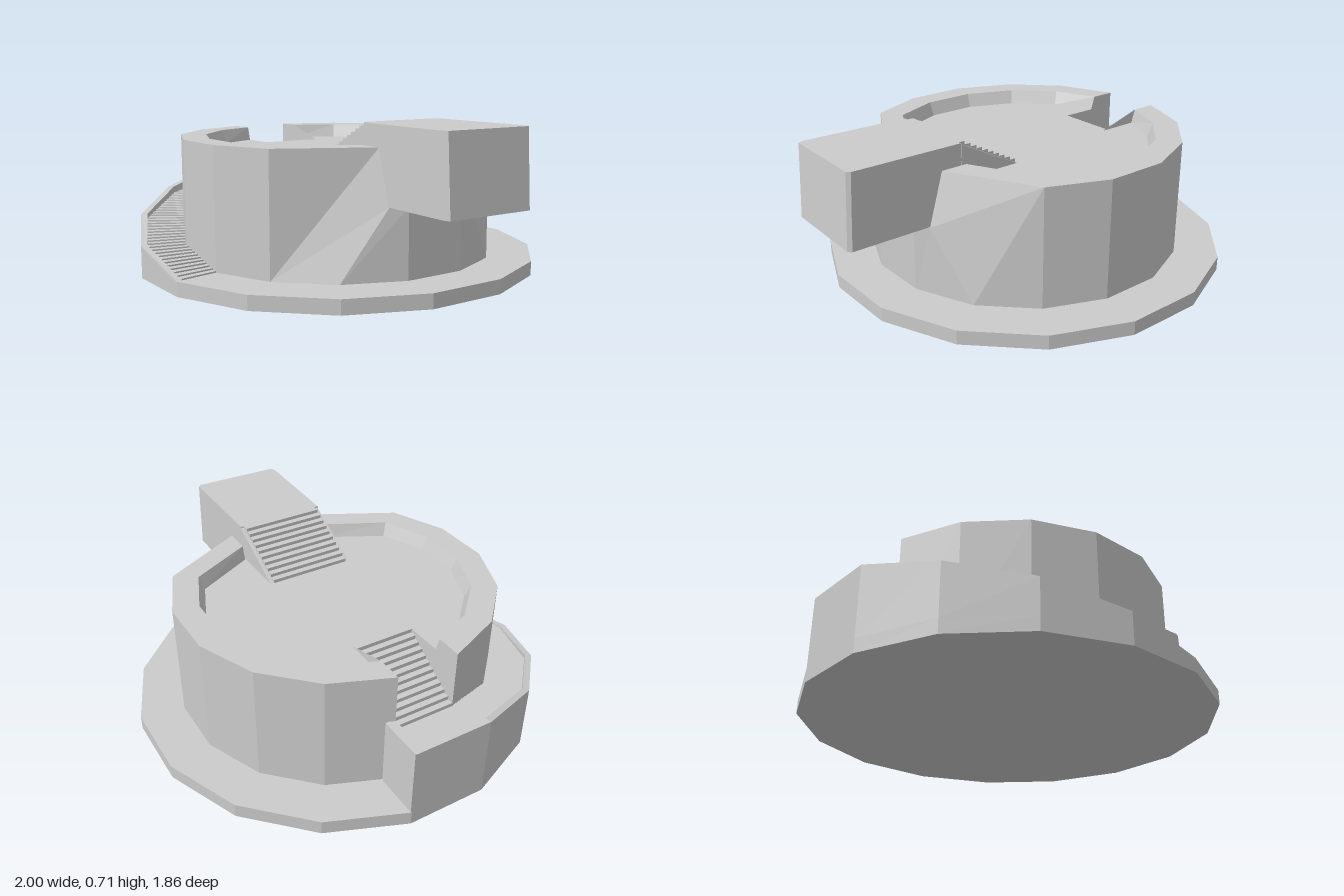
import * as THREE from 'three';

const CX = -0.07, BASE = 0.065, LANDING = 0.34, FLOOR = 0.55, TOP = 0.615, NOTCH = 0.145;
const material = new THREE.MeshStandardMaterial({ color: 0xcccccc, flatShading: true, side: THREE.DoubleSide });

// corner k of a 16-sided ring, counted from +x towards +z
const ring = (r, k, y) => {
  const a = (k + 0.5) * Math.PI / 8;
  return [CX + r * Math.cos(a), y, r * Math.sin(a)];
};
const range = (a, b) => Array.from({ length: b - a + 1 }, (_, i) => a + i);
const lerp = (a, b, t) => a.map((v, i) => v + (b[i] - v) * t);
const mirror = polys => polys.map(p => p.map(([x, y, z]) => [x, y, -z]).reverse());

// quads between successive rows of points
function loft(rows) {
  const out = [];
  for (let j = 0; j + 1 < rows.length; j++)
    for (let k = 0; k + 1 < rows[j].length; k++)
      out.push([rows[j][k + 1], rows[j][k], rows[j + 1][k], rows[j + 1][k + 1]]);
  return out;
}

function mesh(name, geometry) {
  const m = new THREE.Mesh(geometry, material);
  m.name = name;
  return m;
}

// mesh from flat polygons, each cut as a fan from its first corner
function polyMesh(name, polys) {
  const pos = [];
  for (const p of polys)
    for (let i = 1; i + 1 < p.length; i++) pos.push(...p[0], ...p[i], ...p[i + 1]);
  const g = new THREE.BufferGeometry();
  g.setAttribute('position', new THREE.Float32BufferAttribute(pos, 3));
  g.computeVertexNormals();
  return mesh(name, g);
}

// straight flight: sawtooth profile extruded across z
function flight(name, x0, y0, x1, y1, steps, halfWidth, bottom) {
  const s = new THREE.Shape();
  s.moveTo(x0, bottom);
  s.lineTo(x0, y0);
  for (let i = 0; i < steps; i++) {
    const y = y0 + (y1 - y0) * (i + 1) / steps;
    s.lineTo(x0 + (x1 - x0) * i / steps, y);
    s.lineTo(x0 + (x1 - x0) * (i + 1) / steps, y);
  }
  s.lineTo(x1, bottom);
  const g = new THREE.ExtrudeGeometry(s, { depth: 2 * halfWidth, bevelEnabled: false });
  g.translate(0, 0, -halfWidth);
  return mesh(name, g);
}

function box(name, x0, x1, y0, y1, z0, z1) {
  const g = new THREE.BoxGeometry(x1 - x0, y1 - y0, z1 - z0);
  g.translate((x0 + x1) / 2, (y0 + y1) / 2, (z0 + z1) / 2);
  return mesh(name, g);
}

function drum() {
  const ks = range(2, 7);
  const R = 0.745, bottom = k => ring(R, k, BASE);
  const capEnd = [0.555, TOP, 0.22], hip = [0.625, 0.375, 0.22];
  const outer = ks.map(k => ring(R, k, TOP));
  const inner = ks.map(k => ring(0.625, k, TOP));
  const foot = ks.map(k => ring(0.6, k, FLOOR));
  inner[5] = [-0.68, TOP, NOTCH];
  foot[5] = [-0.66, FLOOR, NOTCH];
  const half = [
    ...loft([ks.map(bottom), outer]),
    // parapet, running on to the gatehouse
    ...loft([[capEnd, ...outer], [[0.43, TOP, 0.22], ...inner], [[0.41, FLOOR, 0.22], ...foot]]),
    // sloped shoulder beside the gatehouse
    [bottom(2), bottom(1), hip, capEnd, outer[0]],
    [bottom(1), bottom(0), ring(R, 0, 0.375), hip],
    // side of the stair notch
    [foot[5], inner[5], outer[5], [-0.8, LANDING, NOTCH], [-0.46, FLOOR, NOTCH]],
  ];
  const flip = p => [p[0], p[1], -p[2]];
  const e = bottom(0), w = bottom(7), eTop = ring(R, 0, 0.375), wTop = ring(R, 7, LANDING);
  return polyMesh('drumWall', [
    ...half, ...mirror(half),
    [e, flip(e), flip(eTop), eTop],
    [flip(w), w, wTop, flip(wTop)],
  ]);
}

// upper floor with a notch for the stair
function upperFloor() {
  const side = range(2, 6).map(k => ring(0.6, k, 0)).map(p => new THREE.Vector2(p[0], p[2]));
  const half = [new THREE.Vector2(0.42, 0.215), ...side,
    new THREE.Vector2(-0.66, NOTCH), new THREE.Vector2(-0.46, NOTCH)];
  const rest = half.map(p => new THREE.Vector2(p.x, -p.y)).reverse();
  const g = new THREE.ShapeGeometry(new THREE.Shape([...half, ...rest]));
  g.rotateX(-Math.PI / 2);
  g.translate(0, FLOOR, 0);
  return mesh('upperFloor', g);
}

// treads and risers winding around the drum up to the landing
function curvedStair() {
  const polys = [], per = 10, total = 40;
  for (let i = 0; i < total; i++) {
    const k = 3 + Math.floor(i / per);
    const y0 = BASE + (LANDING - BASE) * i / total;
    const y1 = BASE + (LANDING - BASE) * (i + 1) / total;
    const at = (r, t, y) => lerp(ring(r, k, y), ring(r, k + 1, y), t);
    const t0 = (i % per) / per, t1 = t0 + 1 / per;
    const [ri, ro] = [0.745, 0.925];
    polys.push([at(ro, t0, y0), at(ri, t0, y0), at(ri, t0, y1), at(ro, t0, y1)]);
    polys.push([at(ro, t1, y1), at(ro, t0, y1), at(ri, t0, y1), at(ri, t1, y1)]);
  }
  polys.push([[-0.97, LANDING, 0.18], [-0.8, LANDING, NOTCH], [-0.8, LANDING, -NOTCH], [-0.97, LANDING, -NOTCH]].reverse());
  return polyMesh('curvedStair', polys);
}

// rising outer rim, level along the landing
function stairRim() {
  const ks = range(3, 8);
  const h = k => BASE + 0.081 * Math.min(k - 3, 4);
  return polyMesh('stairRim', loft([
    ks.map(k => ring(0.95, k, BASE)), ks.map(k => ring(0.95, k, h(k))),
    ks.map(k => ring(0.92, k, h(k))), ks.map(k => ring(0.92, k, BASE)),
  ]));
}

// projecting block with clipped far corners
function gatehouseBlock() {
  const plan = [[0.45, -0.212], [0.965, -0.21], [0.98, -0.195], [0.97, 0.222], [0.945, 0.232], [0.45, 0.218]];
  const bottom = plan.map(([x, z]) => [x > 0.5 ? x + 0.02 : x, 0.375, z]);
  const top = plan.map(([x, z]) => [x, 0.71, z]);
  const sides = plan.map((_, i) => {
    const j = (i + 1) % plan.length;
    return [bottom[j], bottom[i], top[i], top[j]];
  });
  return polyMesh('gatehouseBlock', [...sides, [...top].reverse(), bottom]);
}

// thin sloped cheek beside the gatehouse stair
function cheek(z) {
  const s = new THREE.Shape([[0.15, 0.5], [0.45, 0.5], [0.45, 0.705], [0.15, 0.55]].map(p => new THREE.Vector2(...p)));
  const g = new THREE.ExtrudeGeometry(s, { depth: 0.018, bevelEnabled: false });
  g.translate(0, 0, z);
  return mesh('stairCheek', g);
}

export function createModel() {
  const group = new THREE.Group();
  group.name = 'roundBuilding';

  const slab = new THREE.CylinderGeometry(0.95, 0.95, BASE, 16, 1, false, Math.PI / 16);
  slab.translate(CX, BASE / 2, 0);

  group.add(
    mesh('baseSlab', slab),
    drum(),
    upperFloor(),
    curvedStair(),
    stairRim(),
    box('landingEndWall', -0.999, -0.79, BASE, 0.389, -0.188, -NOTCH),
    flight('notchStair', -0.8, LANDING, -0.46, FLOOR, 12, NOTCH, 0.3),
    gatehouseBlock(),
    flight('gatehouseStair', 0.145, FLOOR, 0.45, 0.71, 10, 0.197, 0.5),
    cheek(0.197), cheek(-0.215),
  );
  return group;
}
